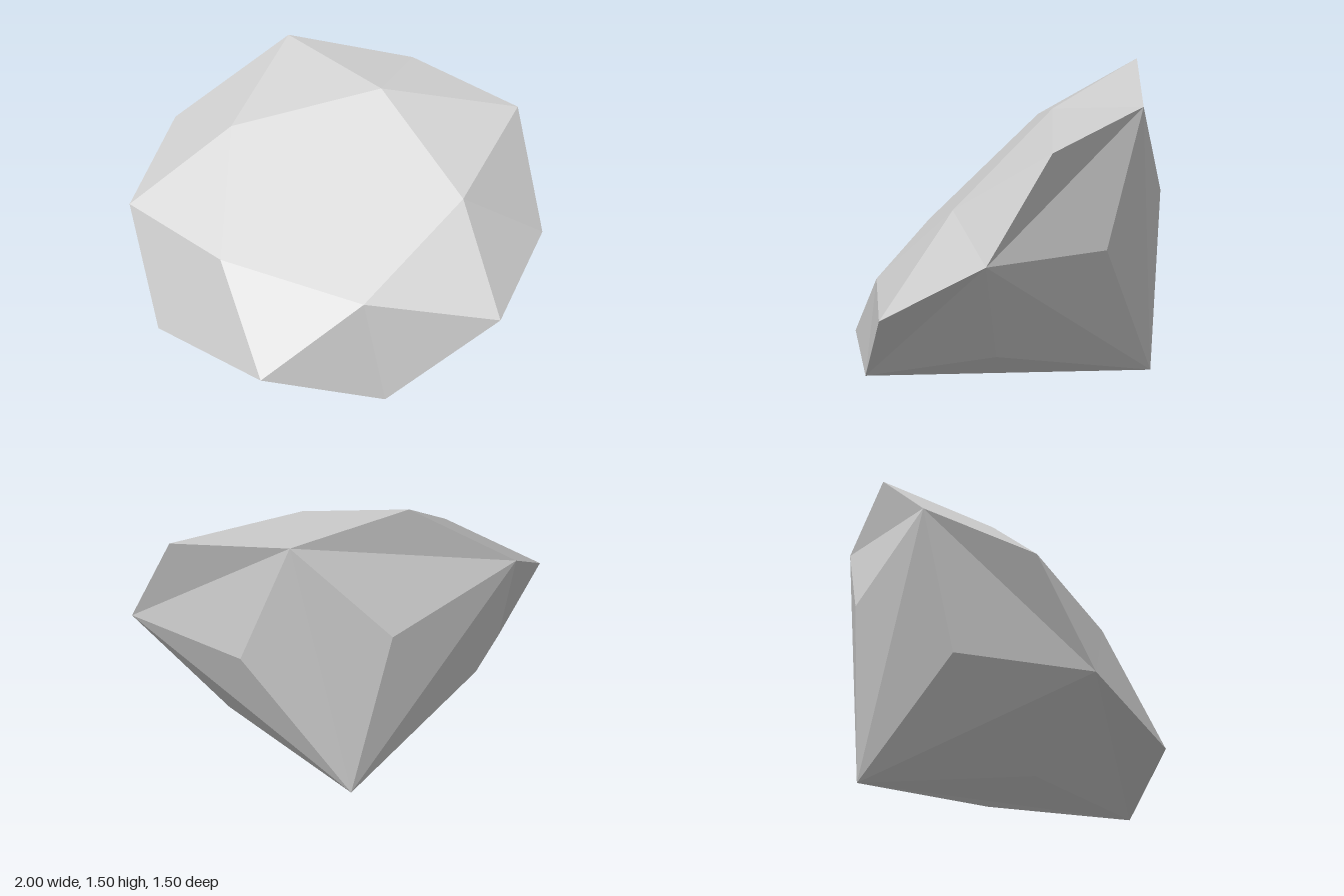
import * as THREE from 'three';

// Five points around the gem's axis, starting at the given angle in degrees.
function ring(radius, height, startDeg, shift = 0) {
  return Array.from({ length: 5 }, (_, i) => {
    const a = THREE.MathUtils.degToRad(startDeg + i * 72);
    return new THREE.Vector3(shift + radius * Math.cos(a), height, -radius * Math.sin(a));
  });
}

function facets(name, triangles, material) {
  const geometry = new THREE.BufferGeometry().setFromPoints(triangles.flat());
  geometry.computeVertexNormals();
  const mesh = new THREE.Mesh(geometry, material);
  mesh.name = name;
  return mesh;
}

export function createModel() {
  const material = new THREE.MeshStandardMaterial({ color: 0xcccccc, flatShading: true });

  // Rings from the flat top down to the point
  const top = ring(0.64, 0.75, 0, -0.005);
  const upper = ring(1.023, 0.62, 36, 0.022);
  const lower = ring(1.012, 0.4525, 0, -0.012);
  const belly = ring(0.65, 0.085, 36);
  const tip = new THREE.Vector3(0, -0.5, 0);
  const centre = new THREE.Vector3(0, 0.75, 0);

  const table = [], crown = [], girdle = [], pavilion = [];
  for (let i = 0; i < 5; i++) {
    const j = (i + 1) % 5;
    table.push([centre, top[i], top[j]]);
    crown.push(
      [top[i], upper[i], top[j]],
      [top[i], lower[i], upper[i]],
      [top[j], upper[i], lower[j]]
    );
    girdle.push([upper[i], lower[i], lower[j]]);
    pavilion.push(
      [belly[i], lower[j], lower[i]],
      [lower[i], tip, belly[i]],
      [belly[i], tip, lower[j]]
    );
  }

  // The gem leans forward, resting on its lower side
  const gem = new THREE.Group();
  gem.name = 'gem';
  gem.add(
    facets('table', table, material),
    facets('crown', crown, material),
    facets('girdle', girdle, material),
    facets('pavilion', pavilion, material)
  );
  gem.rotation.x = Math.PI / 4;
  gem.position.set(0, 0.377, -0.377);

  const model = new THREE.Group();
  model.name = 'cutGem';
  model.add(gem);
  return model;
}
